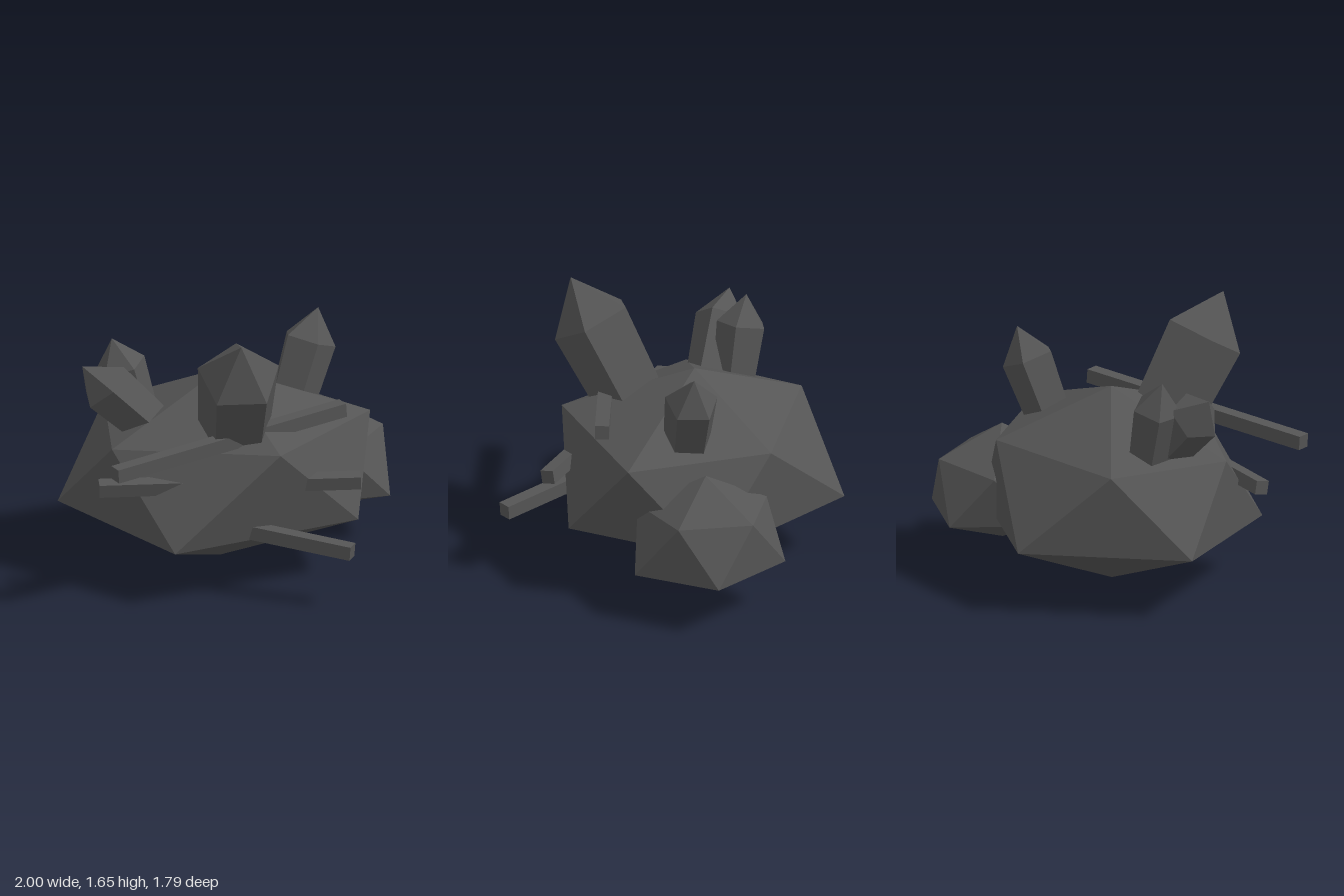
import * as THREE from 'three';

const V = (p) => new THREE.Vector3(...p);

// Faceted boulder: top point, two staggered rings of five, bottom point
function rockGeometry(top, upper, lower, bottom) {
  const pos = [];
  for (let i = 0; i < 5; i++) {
    const j = (i + 1) % 5;
    pos.push(...top, ...upper[j], ...upper[i]);
    pos.push(...upper[i], ...upper[j], ...lower[i]);
    pos.push(...lower[i], ...upper[j], ...lower[j]);
    pos.push(...bottom, ...lower[i], ...lower[j]);
  }
  const g = new THREE.BufferGeometry();
  g.setAttribute('position', new THREE.Float32BufferAttribute(pos, 3));
  g.computeVertexNormals();
  return g;
}

export function createModel() {
  const group = new THREE.Group();
  const stone = new THREE.MeshStandardMaterial({ color: 0x555555, flatShading: true });
  stone.name = 'dark grey stone';

  const add = (name, geometry) => {
    const mesh = new THREE.Mesh(geometry, stone);
    mesh.name = name;
    group.add(mesh);
    return mesh;
  };

  // Boulders
  add('mainRock', rockGeometry(
    [-0.02, 1.2, -0.06],
    [[0.87, 0.9, -0.06], [0.27, 0.92, 0.68], [-0.71, 0.86, 0.34], [-0.69, 0.87, -0.44], [0.24, 0.89, -0.7]],
    [[0.76, 0.38, 0.39], [-0.37, 0.35, 0.78], [-1, 0.38, -0.06], [-0.36, 0.38, -0.89], [0.7, 0.36, -0.52]],
    [-0.03, 0, -0.06]));
  add('sideRock', rockGeometry(
    [0.61, 0.85, -0.45],
    [[0.98, 0.65, -0.45], [0.72, 0.62, -0.05], [0.28, 0.62, -0.22], [0.28, 0.62, -0.69], [0.72, 0.65, -0.82]],
    [[1, 0.3, -0.17], [0.47, 0.31, -0.06], [0.22, 0.31, -0.45], [0.45, 0.31, -0.9], [0.98, 0.31, -0.72]],
    [0.6, 0.14, -0.45]));

  // Five-sided pointed crystal, placed by its tip and lean
  function crystal(name, tip, lean, rTop, rBase, length, point, spin) {
    const profile = [[0, 0], [rBase, 0], [rTop, length], [0, length + point]]
      .map(([r, y]) => new THREE.Vector2(r, y));
    const g = new THREE.LatheGeometry(profile, 5);
    g.translate(0, -length - point, 0);
    g.rotateY(spin);
    const mesh = add(name, g);
    mesh.position.copy(V(tip));
    mesh.quaternion.setFromUnitVectors(new THREE.Vector3(0, 1, 0), V(lean).normalize());
  }
  crystal('largeCrystal', [0.03, 1.65, 0.74], [0, 0.86, 0.51], 0.255, 0.22, 0.68, 0.29, Math.PI);
  crystal('leftCrystal', [0.585, 1.45, -0.36], [0.32, 1, -0.25], 0.165, 0.14, 0.48, 0.2, 0.23);
  crystal('rightOuterCrystal', [-0.87, 1.315, 0.13], [-0.72, 0.72, 0.12], 0.165, 0.14, 0.45, 0.19, 0.3);
  crystal('rightInnerCrystal', [-0.675, 1.405, -0.08], [-0.3, 1, 0], 0.155, 0.13, 0.42, 0.18, 0.5);

  // Square bars driven through the main rock
  function bar(name, from, to, size) {
    const a = V(from), b = V(to);
    const mesh = add(name, new THREE.BoxGeometry(size, size, a.distanceTo(b)));
    mesh.position.copy(a).lerp(b, 0.5);
    mesh.lookAt(b);
    return mesh;
  }
  bar('upperBar', [-0.735, 0.905, 0.855], [0.685, 1.025, 0.205], 0.085);
  bar('lowerBar', [0.685, 0.36, 0.855], [-0.6, 0.47, 0.26], 0.085);
  bar('middleBar', [-0.805, 0.69, 0.53], [0.76, 0.69, 0.53], 0.083).rotateZ(0.16);

  return group;
}
